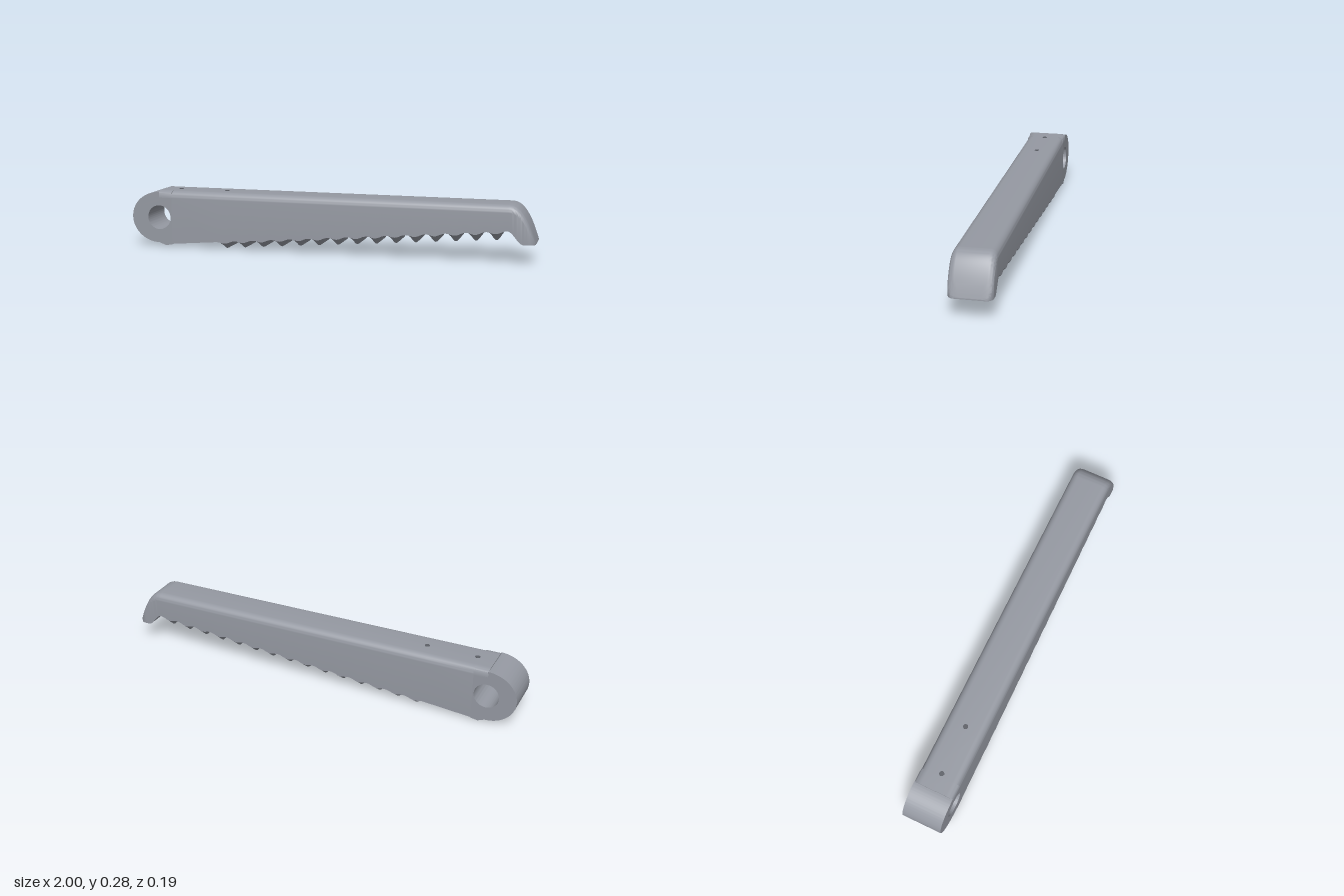
import * as THREE from 'three';
import { toCreasedNormals } from 'three/addons/utils/BufferGeometryUtils.js';

const HALF = 0.0975;              // half thickness of the bar
const PITCH = 0.095;              // tooth spacing
const FIRST = -0.51, LAST = 0.82; // first and last tooth tips
const EYE = -0.79;                // where the full-height bar meets the pivot eye

const { lerp, clamp, smoothstep } = THREE.MathUtils;

// Heights of one cross-section of the bar at x
function section(x, inEye) {
  const u = clamp((x - 0.87) / 0.13, 0, 1);
  const top = 0.28 - 0.175 * Math.pow(u, 2.4);
  let base = 0.012 + 0.0876 * (x + 0.82), tooth = 0;
  if (inEye) base = 0.24;
  else if (x > 0.8675) base = 0.16 - 0.061 * smoothstep(x, 0.872, 0.945);
  else if (x > FIRST - PITCH / 2) {
    const wave = 0.5 + 0.5 * Math.cos((x - FIRST) / PITCH * Math.PI * 2);
    tooth = lerp(0.037, 0.045, (x - FIRST) / (LAST - FIRST)) * Math.pow(wave, 1.1);
  }
  // The nose also rounds off across its width
  const e = clamp((x - 0.965) / 0.035, 0, 1);
  const half = HALF - 0.03 * (1 - Math.sqrt(1 - e * e));
  return { x, top, tip: base - tooth, side: base - 0.25 * tooth, half };
}

// Closed ring: chamfered below, rounded above
function ring({ x, top, tip, side, half }) {
  const r = Math.min(0.035, 0.45 * (top - side));
  const left = [[half - 0.035, tip], [half, side]];
  for (let i = 0; i <= 8; i++) {
    const a = i / 8 * Math.PI / 2;
    left.push([half - 0.035 * (1 - Math.cos(a)), top - r + r * Math.sin(a)]);
  }
  const right = left.map(([z, y]) => [-z, y]).reverse();
  return [...left, ...right].map(([z, y]) => [x, y, z]);
}

// Joins the rings into a closed solid
function loft(rings) {
  const n = rings[0].length, index = [];
  for (let i = 0; i < rings.length - 1; i++) {
    for (let j = 0; j < n; j++) {
      const a = i * n + j, b = i * n + (j + 1) % n;
      index.push(a, a + n, b, b, a + n, b + n);
    }
  }
  const end = (rings.length - 1) * n;
  for (let j = 1; j < n - 1; j++) {
    index.push(0, j, j + 1, end, end + j + 1, end + j);
  }
  const geo = new THREE.BufferGeometry();
  geo.setAttribute('position', new THREE.Float32BufferAttribute(rings.flat(2), 3));
  geo.setIndex(index);
  return toCreasedNormals(geo, 0.6);
}

export function createModel() {
  const group = new THREE.Group();
  const metal = new THREE.MeshStandardMaterial({ color: 0x9599a2 });
  const dark = new THREE.MeshStandardMaterial({ color: 0x5c5f66 });
  const add = (name, geo, mat) => {
    const mesh = new THREE.Mesh(geo, mat);
    mesh.name = name;
    group.add(mesh);
    return mesh;
  };

  // Tapered bar with toothed underside and hooked nose
  const sections = [section(-0.86, true), section(EYE, true), section(EYE)];
  const start = FIRST - PITCH / 2, steps = 240;
  for (let i = 0; i <= steps; i++) sections.push(section(lerp(start, 0.8675, i / steps)));
  for (let i = 1; i <= 30; i++) {
    sections.push(section(lerp(0.8675, 1, Math.sin(i / 30 * Math.PI / 2))));
  }
  add('toothedBar', loft(sections.map(ring)), metal);

  // Rounded pivot eye with a through hole
  const eye = new THREE.Shape();
  eye.moveTo(EYE, 0.245);
  eye.lineTo(-0.857, 0.245);
  eye.lineTo(-0.857, 0.273);
  eye.absellipse(-0.857, 0.146, 0.143, 0.127, Math.PI / 2, Math.PI * 1.5, false);
  eye.lineTo(-0.825, 0.006);
  eye.lineTo(EYE, 0.012);
  eye.closePath();
  const hole = new THREE.Path();
  hole.absarc(-0.857, 0.146, 0.06, 0, Math.PI * 2, true);
  eye.holes.push(hole);
  const eyeGeo = new THREE.ExtrudeGeometry(eye, {
    depth: HALF * 2, bevelEnabled: false, curveSegments: 40,
  });
  eyeGeo.translate(0, 0, -HALF);
  add('pivotEye', toCreasedNormals(eyeGeo, 0.6), metal);

  // Small pin holes on the top face
  for (const x of [-0.775, -0.53]) {
    add('pinHole', new THREE.CylinderGeometry(0.012, 0.012, 0.004, 20), dark)
      .position.set(x, 0.279, 0);
  }
  return group;
}
